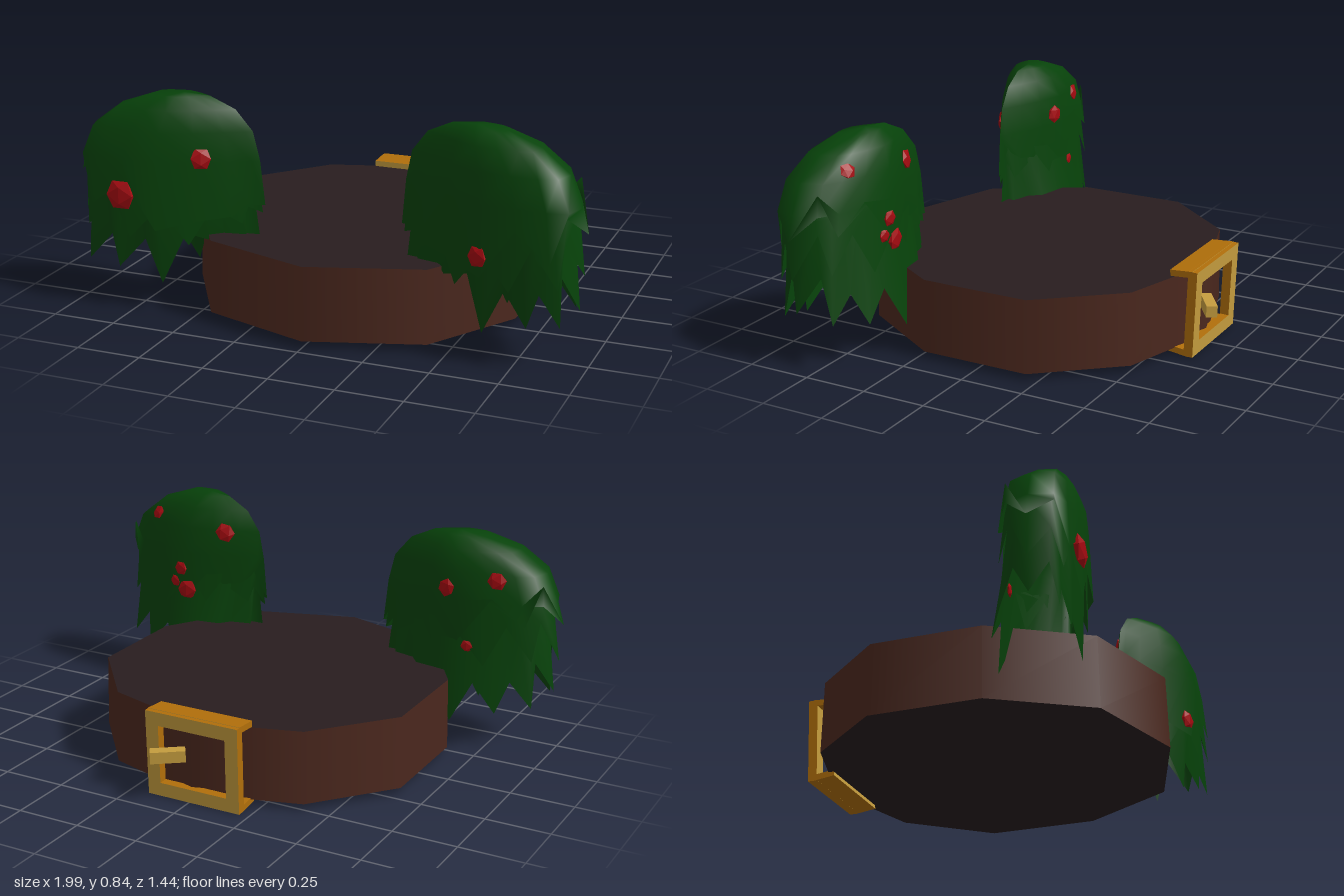
import * as THREE from 'three';

const mat = (name, color, side = THREE.FrontSide) => {
  const m = new THREE.MeshStandardMaterial({ color, side });
  m.name = name;
  return m;
};

// Foliage dome profile: [radius factor, height] from the crown down to the shoulder
const DOME = [[0, 0.842], [0.3, 0.835], [0.62, 0.79], [0.86, 0.71], [0.96, 0.6]];
const DEPTH = 0.145;
const crownShift = (r) => -0.06 * (1 - r * r); // the crown leans to the inner end
const depthFactor = (r) => r ** 0.75; // front and back are steeper than the ends

// Teardrop plan of a bunch: wedge-shaped inner end, blunt outer end
function planPoint(theta, kx, kz, side) {
  const c = Math.cos(theta), s = Math.sin(theta);
  const half = c > 0 ? 1 - c ** 1.25 : Math.abs(s) ** 0.5;
  const x = -side.halfWidth * c * kx;
  const z = side.z + DEPTH * kz * Math.sign(s) * half + side.shear * x;
  return [side.sign * (side.x + x), z];
}

// One leafy layer; hem lists heights from the inner end to the outer end, tips on even columns
function leafLayer({ hem, scale, flare, lift, lean }, side) {
  const n = (hem.length - 1) * 2, pos = [], idx = [];
  const cols = n + 1;
  for (const [r, y] of DOME) {
    for (let i = 0; i < cols; i++) {
      const [x, z] = planPoint((i % n) / n * Math.PI * 2, r * scale, depthFactor(r) * scale, side);
      pos.push(x + side.sign * crownShift(r), y - (1 - scale) * 0.3, z);
    }
  }
  for (let i = 0; i < cols; i++) {
    const k = i % n, tip = k % 2 === 0, theta = k / n * Math.PI * 2;
    const kx = scale * (tip ? 1.02 + (1 - scale) * 0.5 : 0.93);
    const kz = scale * (tip ? flare : 0.97);
    const [x, z] = planPoint(theta, kx, kz, side);
    const y = hem[Math.min(k, n - k)] + (k > n / 2 ? lift : 0);
    pos.push(x, y, z + lean * Math.sin(theta) ** 2);
  }
  for (let j = 0; j < DOME.length; j++) {
    for (let i = 0; i < n; i++) {
      const a = j * cols + i, b = a + cols;
      if (j > 0) idx.push(a, b, a + 1);
      idx.push(a + 1, b, b + 1);
    }
  }
  const g = new THREE.BufferGeometry();
  g.setAttribute('position', new THREE.Float32BufferAttribute(pos, 3));
  g.setIndex(idx);
  g.computeVertexNormals();
  return g;
}

// Depth of the foliage surface at a given place, front (+1) or back (-1)
function surfaceZ(x, y, face, side) {
  let r = 1;
  for (let i = 1; i < DOME.length; i++) {
    const [r0, y0] = DOME[i - 1], [r1, y1] = DOME[i];
    if (y <= y0 && y >= y1) r = r0 + (r1 - r0) * (y0 - y) / (y0 - y1);
  }
  const c = THREE.MathUtils.clamp((side.x + crownShift(r) - x) / (side.halfWidth * r), -1, 1);
  return planPoint(face * Math.acos(c), r, depthFactor(r), side)[1];
}

export function createModel() {
  const root = new THREE.Group();
  const leather = mat('brown leather', 0x4a271d);
  const dark = mat('dark inside', 0x281d1f);
  const gold = mat('gold edge', 0xb06e0a);
  const paleGold = mat('pale gold face', 0xc49c3e);
  const green = mat('leaf green', 0x07420a, THREE.DoubleSide);
  const red = mat('berry red', 0xa30a10);
  const add = (parent, name, geo, material) => {
    const m = new THREE.Mesh(geo, material);
    m.name = name;
    parent.add(m);
    return m;
  };

  // Ten-sided band, slightly pointed in front and flattened at the back
  const band = new THREE.CylinderGeometry(0.677, 0.683, 0.282, 10, 1);
  const p = band.attributes.position;
  for (let i = 0; i < p.count; i++) {
    const z = p.getZ(i);
    p.setZ(i, z > 0 ? z * 1.045 : z < -0.3 ? z * 0.92 : z);
    if (z > 0.3) p.setX(i, p.getX(i) * 1.07);
  }
  add(root, 'band', band, [leather, dark, dark]).position.y = 0.172;

  // Buckle: open frame, flanges above and below the band, and a prong
  const buckle = new THREE.Group();
  buckle.name = 'buckle';
  buckle.position.set(-0.02, 0.173, -0.637);
  buckle.rotation.x = -0.035;
  root.add(buckle);
  const rect = (path, w, h) => path.moveTo(-w, -h).lineTo(w, -h).lineTo(w, h).lineTo(-w, h).closePath();
  const frame = rect(new THREE.Shape(), 0.193, 0.168);
  frame.holes.push(rect(new THREE.Path(), 0.14, 0.115));
  const frameGeo = new THREE.ExtrudeGeometry(frame, { depth: 0.036, bevelEnabled: false });
  add(buckle, 'buckleFrame', frameGeo, [paleGold, gold]).position.z = -0.018;
  for (const s of [1, -1]) {
    const flange = add(buckle, 'buckleFlange', new THREE.BoxGeometry(0.386, 0.024, 0.09),
      [gold, gold, gold, gold, paleGold, paleGold]);
    flange.position.set(0, s * 0.153, 0.045);
    flange.rotation.x = s * 0.1;
  }
  const prong = add(buckle, 'buckleProng', new THREE.BoxGeometry(0.13, 0.045, 0.042), paleGold);
  prong.position.set(0.095, 0.012, -0.03);
  prong.rotation.y = 0.6;

  // Leaf bunches, mirrored with a slight difference in turn
  const layers = [
    { hem: [0.43, 0.43, 0.39, 0.37, 0.34, 0.52, 0.42, 0.58, 0.51],
      scale: 1, flare: 1.04, lift: 0.1, lean: 0 },
    { hem: [0.4, 0.42, 0.36, 0.42, 0.28, 0.42, 0.3, 0.46, 0.33, 0.48, 0.36],
      scale: 0.95, flare: 1.08, lift: 0.05, lean: -0.01 },
    { hem: [0.3, 0.31, 0.3, 0.31, 0.29, 0.31, 0.12, 0.28, 0.17, 0.29, 0.19, 0.36, 0.23],
      scale: 0.89, flare: 1.18, lift: 0, lean: -0.045 },
  ];
  const bunches = [
    { name: 'leftLeaves', side: { sign: 1, x: 0.64, halfWidth: 0.35, z: 0.5, shear: 0.15 },
      // x, y, face, radius
      berries: [[0.63, 0.41, 1, 0.042], [0.46, 0.7, -1, 0.042], [0.8, 0.74, -1, 0.032],
        [0.65, 0.53, -1, 0.032], [0.68, 0.47, -1, 0.027], [0.62, 0.44, -1, 0.046]] },
    { name: 'rightLeaves', side: { sign: -1, x: 0.63, halfWidth: 0.36, z: 0.47, shear: 0.09 },
      berries: [[0.47, 0.615, 1, 0.044], [0.77, 0.465, 1, 0.062], [0.77, 0.69, -1, 0.038],
        [0.57, 0.64, -1, 0.038], [0.67, 0.42, -1, 0.028]] },
  ];
  for (const { name, side, berries } of bunches) {
    const bunch = new THREE.Group();
    bunch.name = name;
    root.add(bunch);
    for (const layer of layers) add(bunch, 'leafLayer', leafLayer(layer, side), green);
    // Flattened berries lying on the foliage surface
    for (const [x, y, face, r] of berries) {
      const berry = add(bunch, 'berry', new THREE.IcosahedronGeometry(r, 0), red);
      const z = surfaceZ(x, y, face, side), e = 0.02;
      const dx = (surfaceZ(x + e, y, face, side) - surfaceZ(x - e, y, face, side)) / (2 * e);
      const dy = (surfaceZ(x, y + e, face, side) - surfaceZ(x, y - e, face, side)) / (2 * e);
      const normal = new THREE.Vector3(-dx * side.sign, -dy, 1).multiplyScalar(face).normalize();
      berry.scale.z = 0.3;
      berry.position.set(side.sign * x, y, z);
      berry.quaternion.setFromUnitVectors(new THREE.Vector3(0, 0, 1), normal);
    }
  }
  return root;
}
